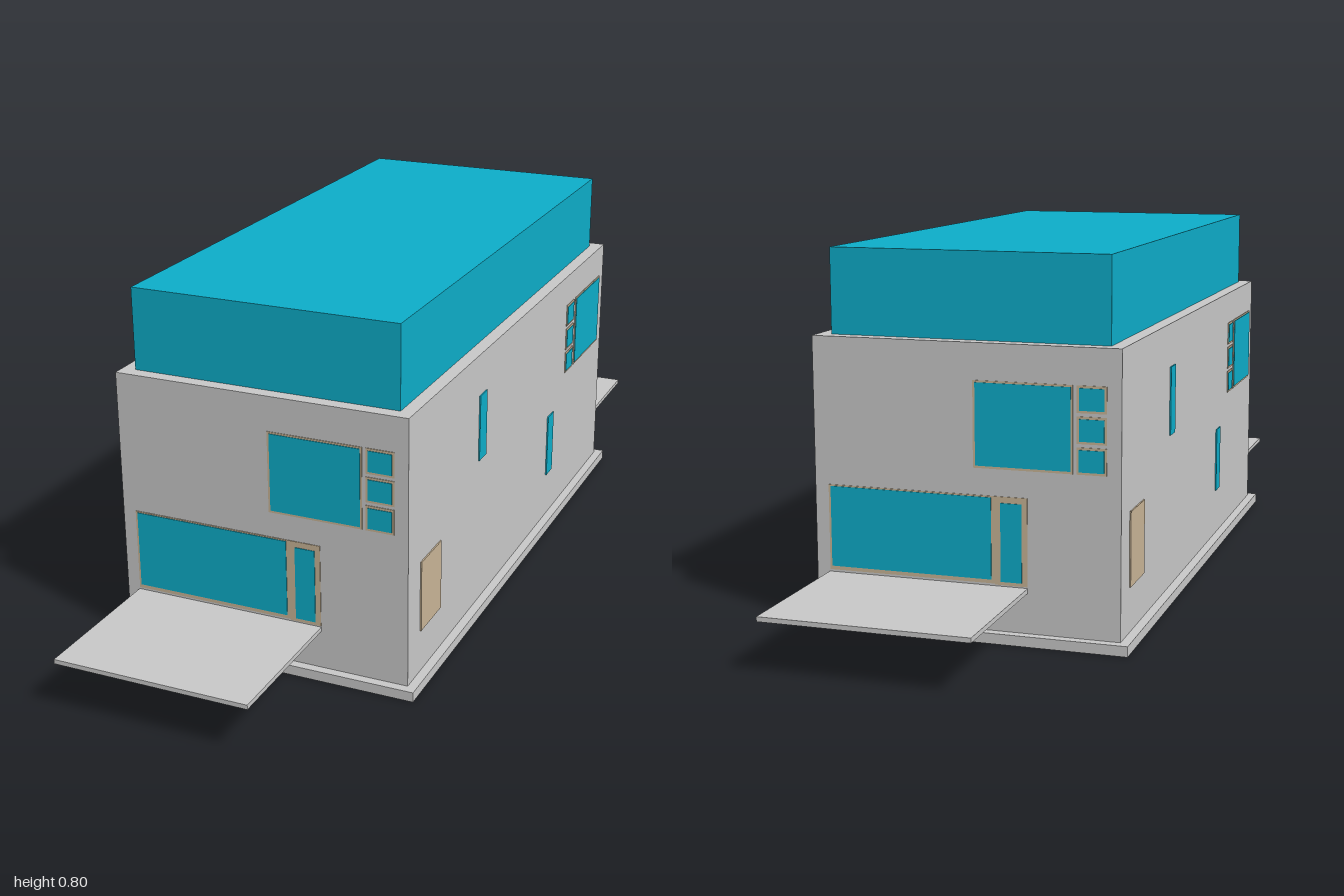
import * as THREE from 'three';

const grey = new THREE.MeshStandardMaterial({ color: 0xc8c8c8 });
grey.name = 'concrete';
const teal = new THREE.MeshStandardMaterial({ color: 0x0dadc9 });
teal.name = 'tealGlass';
const tan = new THREE.MeshStandardMaterial({ color: 0xc8b496 });
tan.name = 'tanFrame';

const WALL_X = 0.33, WALL_Z = 0.67;

// Box given by its extents
function box(parent, name, mat, [x0, x1], [y0, y1], [z0, z1]) {
  const mesh = new THREE.Mesh(new THREE.BoxGeometry(x1 - x0, y1 - y0, z1 - z0), mat);
  mesh.position.set((x0 + x1) / 2, (y0 + y1) / 2, (z0 + z1) / 2);
  mesh.name = name;
  parent.add(mesh);
}

// Wall plan with an S-shaped dividing wall, extruded from y0 to y1.
// w is half the wall width about the wall's centre line.
function wallPlan(name, w, y0, y1) {
  const X = 0.315, Z = 0.655, D = 0.08;
  const v = (x, z) => new THREE.Vector2(x, z);
  const shape = new THREE.Shape([
    v(-X - w, -Z - w), v(X + w, -Z - w), v(X + w, Z + w), v(-X - w, Z + w),
  ]);
  const room = [
    v(X - w, Z - w), v(-X + w, Z - w), v(-X + w, D + w),
    v(w, D + w), v(w, -D + w), v(X - w, -D + w),
  ];
  shape.holes.push(new THREE.Path(room));
  shape.holes.push(new THREE.Path(room.map((p) => v(-p.x, -p.y))));
  const geo = new THREE.ExtrudeGeometry(shape, { depth: y1 - y0, bevelEnabled: false });
  geo.rotateX(Math.PI / 2).translate(0, y1, 0);
  const mesh = new THREE.Mesh(geo, grey);
  mesh.name = name;
  return mesh;
}

// One dwelling's openings and balcony: front wall (+z) and side wall (+x)
function dwelling(name) {
  const g = new THREE.Group();
  g.name = name;
  const front = (n, m, x, y, t) => box(g, n, m, x, y, [WALL_Z - 0.003, WALL_Z + t]);
  const side = (n, m, z, y, t) => box(g, n, m, [WALL_X - 0.003, WALL_X + t], y, z);
  const F = 0.0015, G = 0.003; // how far frames and glass stand proud

  box(g, 'balcony', grey, [-0.302, 0.135], [0.107, 0.117], [WALL_Z - 0.01, 1]);

  // Balcony window and door
  front('balconyWindowFrame', tan, [-0.3, 0.065], [0.122, 0.304], F);
  front('balconyWindowGlass', teal, [-0.295, 0.058], [0.13, 0.301], G);
  front('balconyDoor', tan, [0.065, 0.135], [0.12, 0.304], F);
  front('balconyDoorGlass', teal, [0.078, 0.123], [0.127, 0.291], G);

  // Upper corner windows
  front('upperWindowFrame', tan, [0.02, 0.23], [0.36, 0.539], F);
  front('upperWindowGlass', teal, [0.025, 0.226], [0.365, 0.535], G);
  side('sideUpperWindowFrame', tan, [-0.637, -0.427], [0.36, 0.539], F);
  side('sideUpperWindowGlass', teal, [-0.633, -0.432], [0.365, 0.535], G);
  for (const [y0, y1] of [[0.36, 0.415], [0.422, 0.477], [0.484, 0.539]]) {
    const frameY = [y0, y1], glassY = [y0 + 0.005, y1 - 0.005];
    front('smallWindowFrame', tan, [0.238, 0.3], frameY, F);
    front('smallWindowGlass', teal, [0.243, 0.295], glassY, G);
    side('sideSmallWindowFrame', tan, [-0.414, -0.357], frameY, F);
    side('sideSmallWindowGlass', teal, [-0.41, -0.361], glassY, G);
  }

  // Narrow side windows and entrance door
  side('narrowUpperWindow', teal, [0.227, 0.27], [0.368, 0.52], G);
  side('narrowLowerWindow', teal, [-0.27, -0.227], [0.133, 0.288], G);
  side('entranceDoor', tan, [0.494, 0.605], [0.118, 0.276], G);
  return g;
}

export function createModel() {
  const model = new THREE.Group();
  model.name = 'house';

  // Footing, foundation walls, house body and roof block
  model.add(wallPlan('footing', 0.035, 0, 0.022));
  model.add(wallPlan('foundationWalls', 0.015, 0.022, 0.107));
  box(model, 'houseBody', grey, [-WALL_X, WALL_X], [0.107, 0.615], [-WALL_Z, WALL_Z]);
  box(model, 'roofBlock', teal, [-0.3, 0.3], [0.615, 0.795], [-0.64, 0.64]);

  // Two dwellings, turned half a circle from each other
  const frontDwelling = dwelling('frontDwelling');
  const backDwelling = dwelling('backDwelling');
  backDwelling.rotation.y = Math.PI;
  model.add(frontDwelling, backDwelling);
  return model;
}
